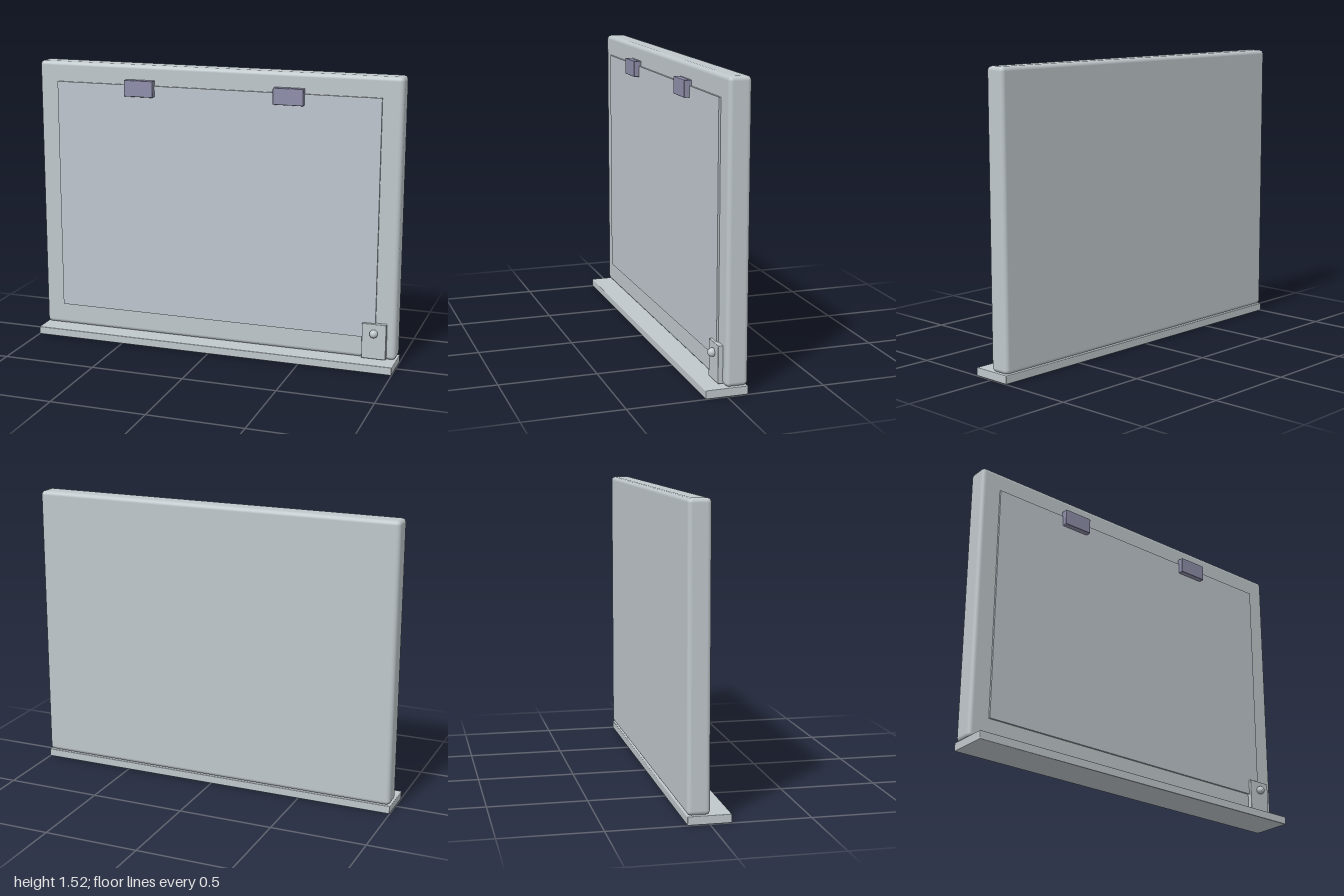
import * as THREE from 'three';
import { RoundedBoxGeometry } from 'three/addons/geometries/RoundedBoxGeometry.js';

export function createModel() {
  const model = new THREE.Group();
  const material = (name, color) => {
    const m = new THREE.MeshStandardMaterial({ color });
    m.name = name;
    return m;
  };
  const paleGrey = material('pale grey', 0xc0c8cc);
  const screenGrey = material('screen grey', 0xbfc6ce);
  const clipPurple = material('clip purple grey', 0x8e8eaa);

  // Box given by its extents, with optional softened edges
  function slab(name, mat, [x0, x1], [y0, y1], [z0, z1], radius = 0) {
    const size = [x1 - x0, y1 - y0, z1 - z0];
    const geometry = radius
      ? new RoundedBoxGeometry(...size, 2, radius)
      : new THREE.BoxGeometry(...size);
    const mesh = new THREE.Mesh(geometry, mat);
    mesh.name = name;
    mesh.position.set((x0 + x1) / 2, (y0 + y1) / 2, (z0 + z1) / 2);
    model.add(mesh);
  }

  // Base ledge and the board standing at its back
  slab('baseLedge', paleGrey, [-1, 1], [0, 0.043], [-0.108, 0.108], 0.004);
  slab('board', paleGrey, [-0.997, 0.997], [0.043, 1.525], [-0.108, 0.005], 0.022);

  // Raised front sheet
  slab('frontSheet', screenGrey, [-0.89, 0.89], [0.16, 1.418], [0, 0.015]);

  // Clips holding the top edge of the sheet
  for (const side of [-1, 1]) {
    const x = side * 0.41;
    slab(side < 0 ? 'rightClip' : 'leftClip', clipPurple,
      [x - 0.081, x + 0.081], [1.36, 1.447], [0.012, 0.044], 0.004);
    slab(side < 0 ? 'rightClipHook' : 'leftClipHook', clipPurple,
      [x - 0.079, x + 0.079], [1.419, 1.446], [0, 0.02]);
  }

  // Corner plate with a round knob
  slab('cornerPlate', paleGrey, [0.822, 0.95], [0.05, 0.24], [0, 0.029], 0.003);
  const knob = new THREE.Mesh(new THREE.SphereGeometry(0.022, 20, 14), paleGrey);
  knob.name = 'knob';
  knob.position.set(0.886, 0.19, 0.037);
  model.add(knob);

  return model;
}
